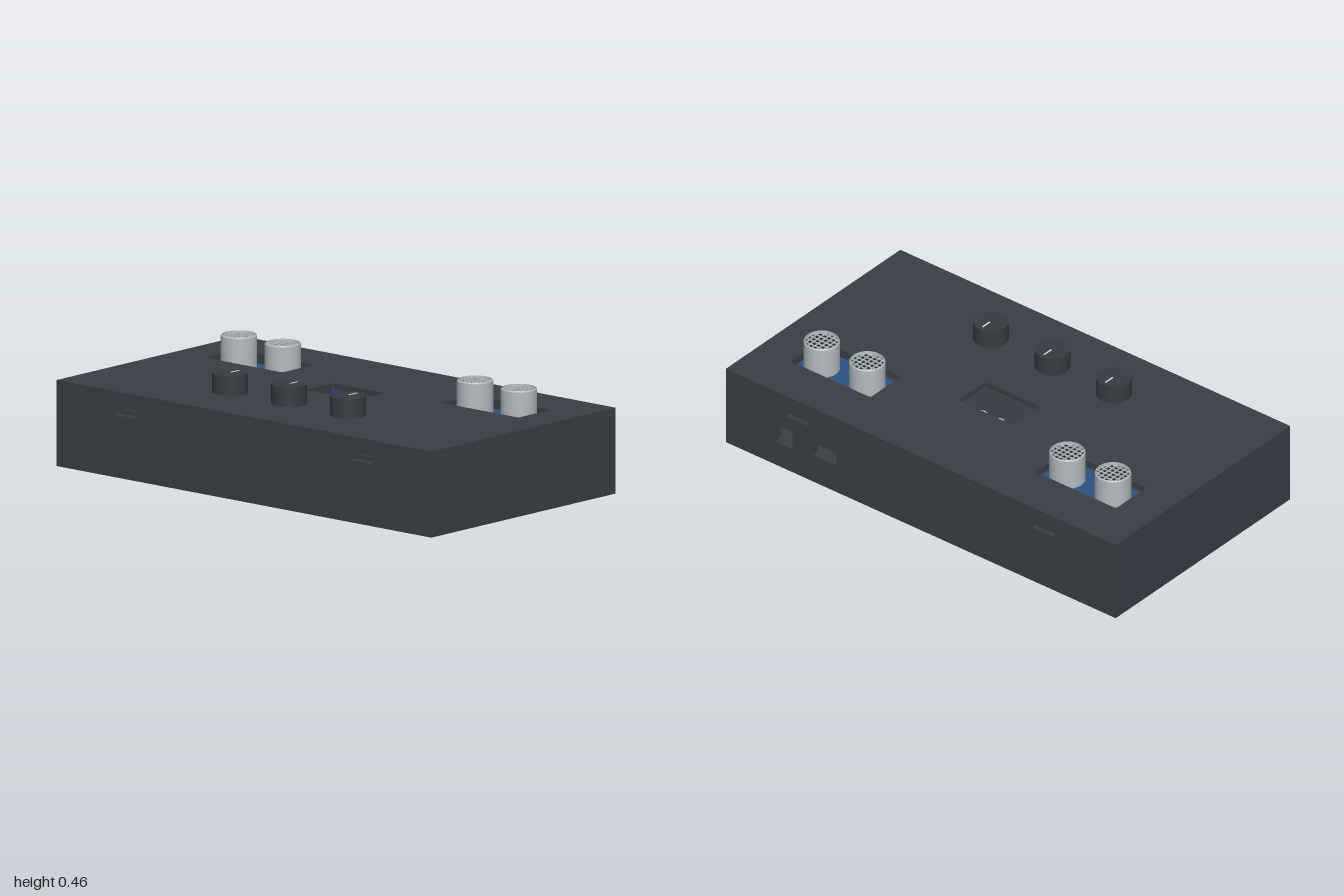
import * as THREE from 'three';

const paint = (name, color, side = THREE.FrontSide) => {
  const m = new THREE.MeshStandardMaterial({ color, side });
  m.name = name;
  return m;
};

// Rectangle outline, optionally with rounded corners
function rect(cx, cy, w, h, r = 0, Type = THREE.Path) {
  const p = new Type(), x = cx - w / 2, y = cy - h / 2;
  p.moveTo(x + r, y);
  p.lineTo(x + w - r, y);
  if (r) p.absarc(x + w - r, y + r, r, -Math.PI / 2, 0);
  p.lineTo(x + w, y + h - r);
  if (r) p.absarc(x + w - r, y + h - r, r, 0, Math.PI / 2);
  p.lineTo(x + r, y + h);
  if (r) p.absarc(x + r, y + h - r, r, Math.PI / 2, Math.PI);
  p.lineTo(x, y + r);
  if (r) p.absarc(x + r, y + r, r, Math.PI, Math.PI * 1.5);
  p.closePath();
  return p;
}

// Flat panel with cut-outs
function panel(w, h, cy, depth, holes) {
  const s = rect(0, cy, w, h, 0, THREE.Shape);
  s.holes = holes;
  return new THREE.ExtrudeGeometry(s, { depth, bevelEnabled: false, curveSegments: 5 });
}

export function createModel() {
  const model = new THREE.Group();
  const shell = paint('charcoal shell', 0x393f46);
  const knobMat = paint('knob charcoal', 0x373c42);
  const rubber = paint('dark rubber', 0x2e3338);
  const blue = paint('board blue', 0x2c5282);
  const metal = paint('sensor silver', 0xb4babf, THREE.DoubleSide);
  const dark = paint('dark interior', 0x2a2e33);
  const glass = paint('screen glass', 0x363c43);
  const light = paint('white marking', 0xdde2e6);

  const add = (name, geo, mat, x = 0, y = 0, z = 0, parent = model) => {
    const m = new THREE.Mesh(geo, mat);
    m.name = name;
    m.position.set(x, y, z);
    parent.add(m);
    return m;
  };
  const box = (w, h, d) => new THREE.BoxGeometry(w, h, d);
  const turned = (pts, n = 32) =>
    new THREE.LatheGeometry(pts.map(([r, y]) => new THREE.Vector2(r, y)), n);

  // Hollow case: floor, side walls, slotted front and back
  add('floor', box(2, 0.03, 1.1), shell, 0, 0.035, 0);
  for (const s of [-1, 1]) add('sideWall', box(0.03, 0.295, 1.04), shell, s * 0.985, 0.1975, 0);
  const slots = () => [-1, 1].map((s) => rect(s * 0.63, 0.29, 0.114, 0.032, 0.004));
  add('frontWall', panel(2, 0.295, 0.1975, 0.03, slots()), shell, 0, 0, 0.52);
  const ports = [rect(0.7, 0.172, 0.085, 0.085, 0.008), rect(0.49, 0.175, 0.115, 0.06, 0.008)];
  add('backWall', panel(2, 0.295, 0.1975, 0.03, [...slots(), ...ports]), shell, 0, 0, -0.55);

  // Lid with the sensor windows, screen window and a fine seam beneath
  const windows = [-1, 1].map((s) => rect(s * 0.63, 0.25, 0.41, 0.19, 0.01));
  windows.push(rect(0, 0.055, 0.28, 0.17, 0.01));
  const lid = add('lid', panel(2, 1.1, 0, 0.024, windows), shell, 0, 0.346, 0);
  lid.rotation.x = -Math.PI / 2;
  for (const z of [-1, 1]) {
    add('seam', box(1.99, 0.002, 0.02), dark, 0, 0.3455, z * 0.535);
    // Snap clips that reach into the slots
    for (const x of [-1, 1]) {
      add('clipArm', box(0.09, 0.07, 0.02), shell, x * 0.63, 0.311, z * 0.508);
      add('clipTab', box(0.09, 0.018, 0.018), shell, x * 0.63, 0.288, z * 0.525);
    }
  }
  for (const x of [-1, 1]) add('seam', box(0.02, 0.002, 1.06), dark, x * 0.985, 0.3455, 0);

  // Feet
  const footGeo = turned([[0, 0], [0.058, 0], [0.0625, 0.004], [0.0625, 0.022]]);
  for (const x of [-0.77, 0.77]) for (const z of [-0.38, 0.38]) add('foot', footGeo, rubber, x, 0, z);

  // Twin-can sensors on blue boards
  const can = turned([[0.073, 0], [0.073, 0.126], [0.071, 0.131], [0.068, 0.133], [0.066, 0.133], [0.066, 0.115]]);
  const meshDisc = new THREE.CircleGeometry(0.067, 32).rotateX(-Math.PI / 2);
  for (const s of [-1, 1]) {
    const sensor = new THREE.Group();
    sensor.name = 'sensor';
    sensor.position.set(s * 0.63, 0.33, -0.25);
    model.add(sensor);
    add('sensorBoard', box(0.42, 0.015, 0.2), blue, 0, -0.0075, 0, sensor);
    for (const x of [-0.117, 0.117]) {
      add('sensorCan', can, metal, x, 0, -0.006, sensor);
      add('sensorInside', meshDisc, dark, x, 0.117, -0.006, sensor);
      for (let i = -2; i <= 2; i++) {
        const o = i * 0.022, len = 2 * Math.sqrt(0.067 ** 2 - o * o);
        add('grilleBar', box(len, 0.004, 0.0045), metal, x, 0.127, -0.006 + o, sensor);
        add('grilleBar', box(0.0045, 0.004, len), metal, x + o, 0.127, -0.006, sensor);
      }
    }
  }

  // Recessed screen with a waveform trace
  add('screenGlass', box(0.3, 0.012, 0.19), glass, 0, 0.324, -0.055);
  add('screenBoard', box(0.3, 0.016, 0.012), blue, 0, 0.338, -0.147);
  const wave = [];
  for (let i = 0; i <= 48; i++) {
    const x = -0.118 + (0.236 * i) / 48;
    wave.push(new THREE.Vector3(x, 0, -0.104 - 0.012 * Math.cos((x * Math.PI * 2) / 0.09)));
  }
  add('waveTrace', new THREE.TubeGeometry(new THREE.CatmullRomCurve3(wave), 96, 0.0025, 5), light, 0, 0.332, 0);

  // Control knobs
  const shaft = new THREE.CylinderGeometry(0.027, 0.027, 0.06, 20);
  const cap = new THREE.CylinderGeometry(0.0715, 0.0715, 0.079, 36);
  for (const x of [-0.315, 0, 0.315]) {
    add('knobShaft', shaft, dark, x, 0.36, 0.28);
    add('knob', cap, knobMat, x, 0.4165, 0.28);
    add('knobPointer', box(0.006, 0.003, 0.046), light, x, 0.4565, 0.25);
  }
  return model;
}
